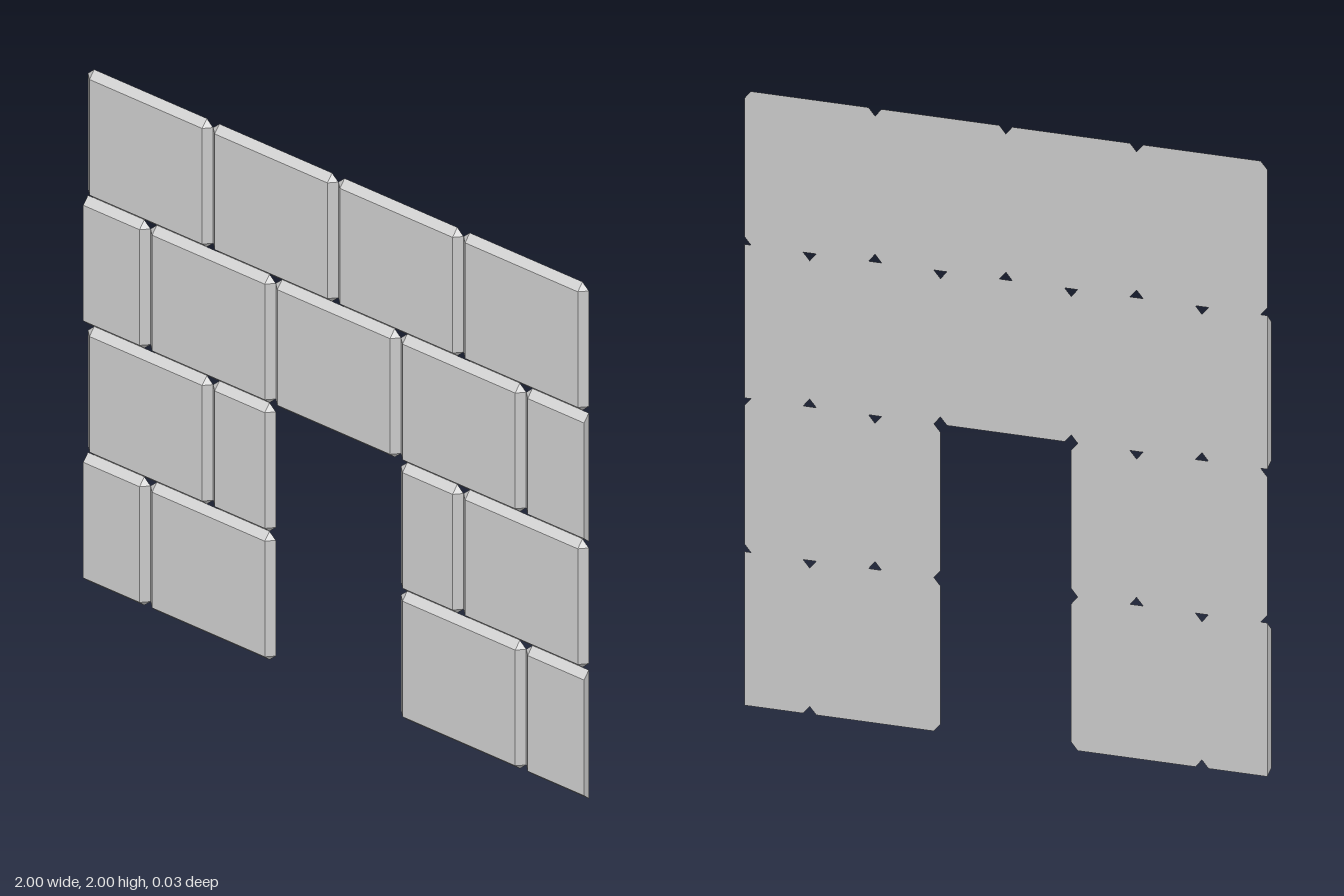
import * as THREE from 'three';
import { ConvexGeometry } from 'three/addons/geometries/ConvexGeometry.js';

const BEVEL = 0.025;
const BACK = -0.0125;
const FRONT = 0.0125;
const ROW_HEIGHT = 0.5;

// One stone: wide back with clipped corners, inset front face, 45 degree bevels.
// An end lying on a cut line (bevel 0) stays square.
function stoneGeometry(x0, x1, bevelLeft, bevelRight) {
  const points = [];
  for (const [x, inward, bevel] of [[x0, 1, bevelLeft], [x1, -1, bevelRight]]) {
    for (const [y, up] of [[0, 1], [ROW_HEIGHT, -1]]) {
      const xIn = x + inward * bevel;
      points.push(new THREE.Vector3(xIn, y + up * BEVEL, FRONT));
      points.push(new THREE.Vector3(xIn, y, BACK));
      if (bevel > 0) points.push(new THREE.Vector3(x, y + up * BEVEL, BACK));
    }
  }
  return new ConvexGeometry(points);
}

// Rows from the ground up: [start, end] of each stone; half stones are cut at the wall ends
const rows = [
  [[-1, -0.75], [-0.75, -0.25], [0.25, 0.75], [0.75, 1]],
  [[-1, -0.5], [-0.5, -0.25], [0.25, 0.5], [0.5, 1]],
  [[-1, -0.75], [-0.75, -0.25], [-0.25, 0.25], [0.25, 0.75], [0.75, 1]],
  [[-1, -0.5], [-0.5, 0], [0, 0.5], [0.5, 1]],
];

export function createModel() {
  const wall = new THREE.Group();
  wall.name = 'stoneWallWithDoorway';
  const material = new THREE.MeshStandardMaterial({ color: 0xcccccc, flatShading: true });

  rows.forEach((stones, r) => {
    const row = new THREE.Group();
    row.name = `stoneRow${r + 1}`;
    row.position.y = r * ROW_HEIGHT;
    stones.forEach(([x0, x1], i) => {
      const half = x1 - x0 < 0.4;
      const geometry = stoneGeometry(
        x0, x1,
        half && x0 === -1 ? 0 : BEVEL,
        half && x1 === 1 ? 0 : BEVEL
      );
      const stone = new THREE.Mesh(geometry, material);
      stone.name = `${half ? 'halfStone' : 'stone'}${i + 1}`;
      row.add(stone);
    });
    wall.add(row);
  });
  return wall;
}
